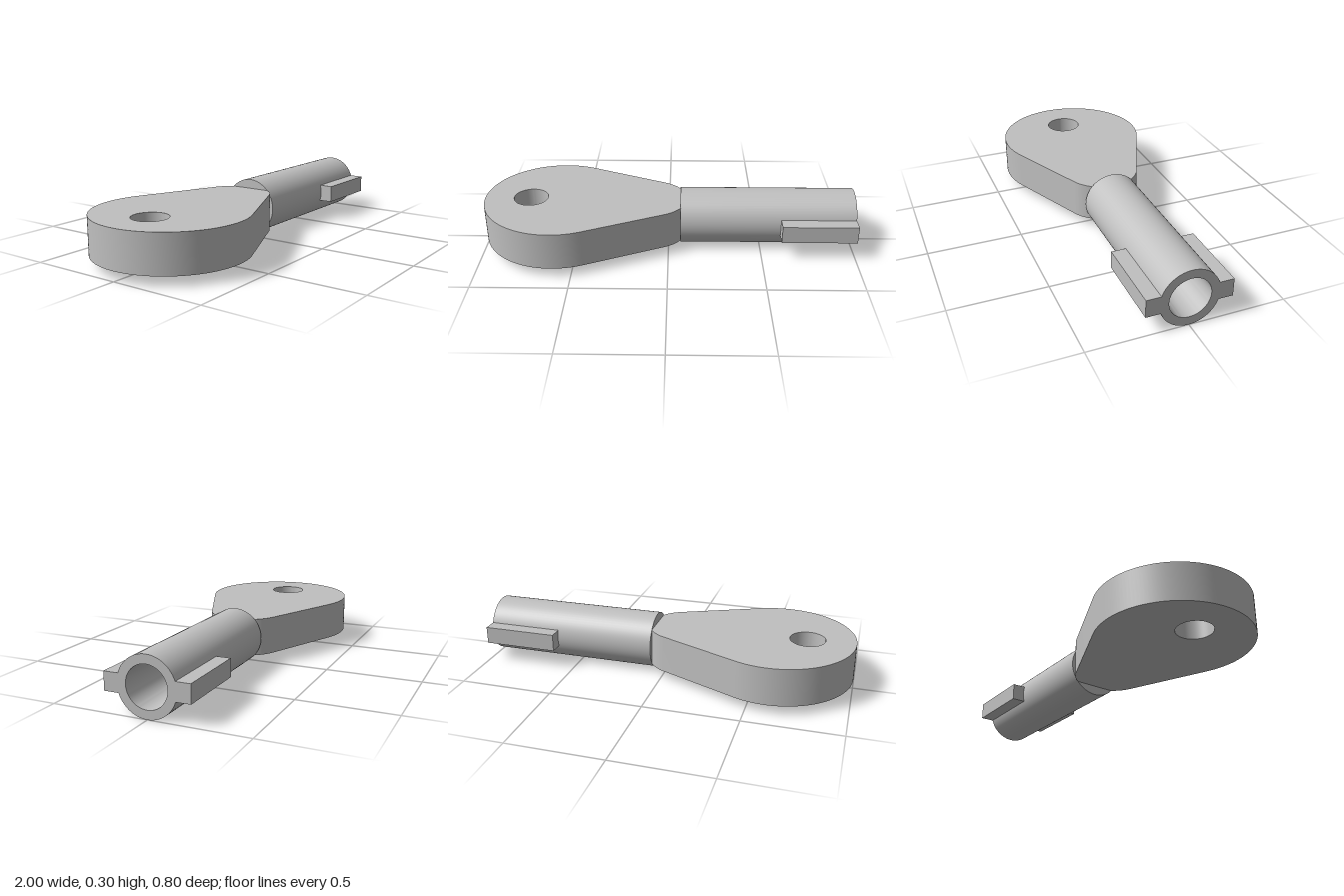
import * as THREE from 'three';
import { toCreasedNormals } from 'three/addons/utils/BufferGeometryUtils.js';

export function createModel() {
  const model = new THREE.Group();
  model.name = 'rodEnd';
  const grey = new THREE.MeshStandardMaterial({ color: 0xc0c0c0 });
  grey.name = 'grey';
  const axisY = 0.15;

  const add = (geometry, name) => {
    const mesh = new THREE.Mesh(toCreasedNormals(geometry, 0.5), grey);
    mesh.name = name;
    model.add(mesh);
    return mesh;
  };

  // Teardrop paddle: large and small arcs joined by tangents, with a pin hole
  const bigR = 0.4, smallR = 0.2, bigX = -0.6, smallX = -0.1;
  const tangent = Math.acos((bigR - smallR) / (smallX - bigX));
  const outline = new THREE.Shape();
  outline.absarc(bigX, 0, bigR, tangent, Math.PI * 2 - tangent, false);
  outline.absarc(smallX, 0, smallR, -tangent, tangent, false);
  outline.closePath();
  const hole = new THREE.Path();
  hole.absarc(-0.75, 0, 0.093, 0, Math.PI * 2, true);
  outline.holes.push(hole);
  const plate = new THREE.ExtrudeGeometry(outline, { depth: 0.2, bevelEnabled: false, curveSegments: 40 });
  plate.rotateX(-Math.PI / 2).translate(0, 0.05, 0);
  add(plate, 'paddle');

  // Round shaft with a slightly tapered blind bore open at the +x end
  const profile = [
    [0, 0.065], [0.15, 0.065], [0.15, 1], [0.105, 1], [0.09, 0.14], [0, 0.14],
  ].map(([r, x]) => new THREE.Vector2(r, x));
  const shaft = new THREE.LatheGeometry(profile, 64);
  shaft.rotateZ(-Math.PI / 2).translate(0, axisY, 0);
  add(shaft, 'shaft');

  // Side keys, rooted in the shaft wall without entering the bore
  for (const side of [1, -1]) {
    const key = new THREE.BoxGeometry(0.4, 0.093, 0.092);
    key.translate(0.8, axisY, side * 0.171);
    add(key, side > 0 ? 'frontKey' : 'backKey');
  }
  return model;
}
